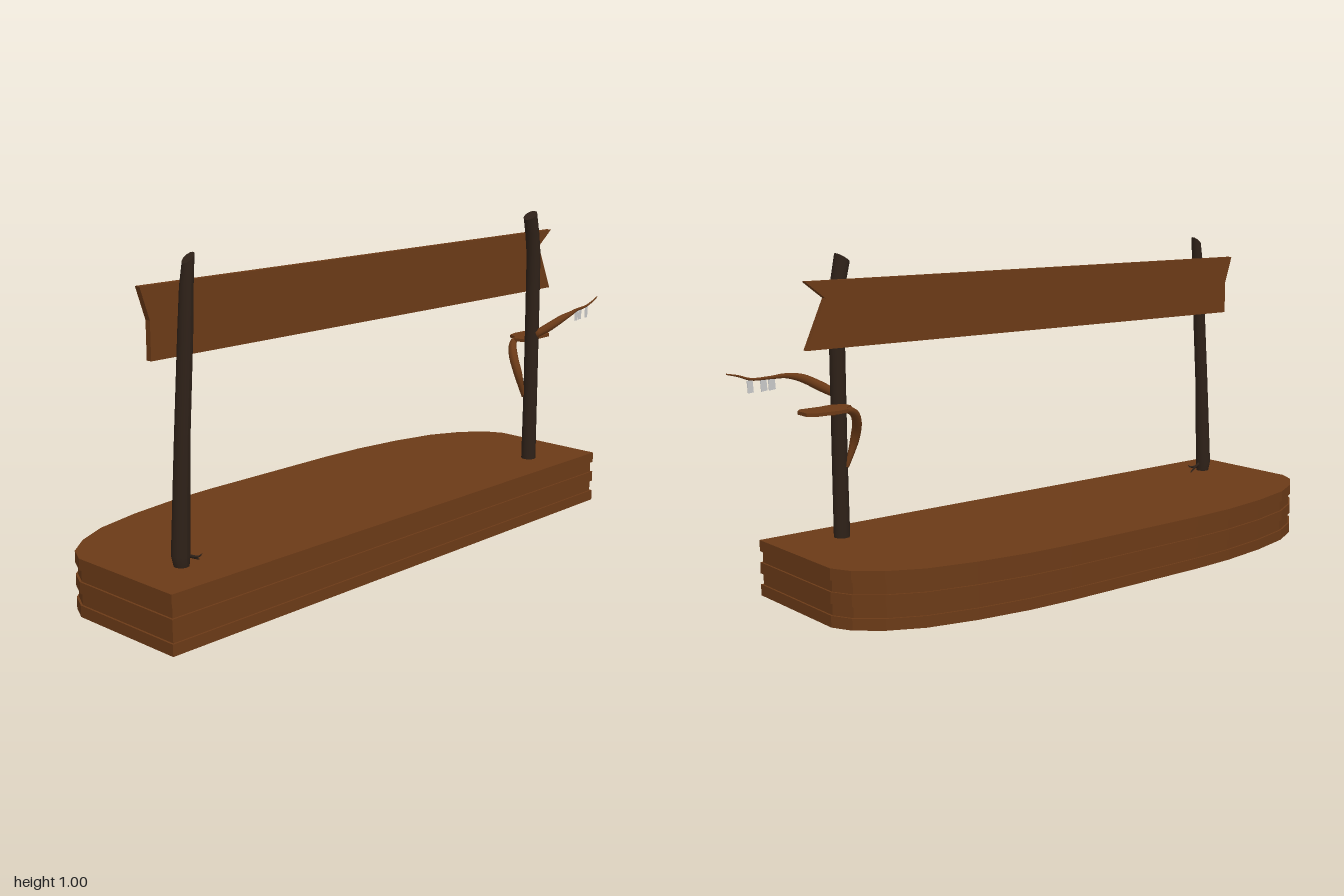
import * as THREE from 'three';

const wood = new THREE.MeshStandardMaterial({ color: 0x6b3a17 });
const bark = new THREE.MeshStandardMaterial({ color: 0x2e2118 });
const pale = new THREE.MeshStandardMaterial({ color: 0xcccccc, side: THREE.DoubleSide });

function add(parent, name, geometry, material) {
  const mesh = new THREE.Mesh(geometry, material);
  mesh.name = name;
  parent.add(mesh);
  return mesh;
}

// Flat board cut from an outline of [x, y] points
function board(outline, depth) {
  const shape = new THREE.Shape(outline.map(([x, y]) => new THREE.Vector2(x, y)));
  return new THREE.ExtrudeGeometry(shape, { depth, bevelEnabled: false });
}

// Horizontal board cut from [x, z] points
function slab(outline, bottom, height) {
  return board(outline.map(([x, z]) => [x, -z]), height)
    .rotateX(-Math.PI / 2).translate(0, bottom, 0);
}

// Upright log through [x, y, z, radius] stations, with a slanted top
function log(stations, slant) {
  const last = stations.length - 1;
  const g = new THREE.CylinderGeometry(1, 1, 1, 12, last);
  const p = g.attributes.position;
  for (let i = 0; i < p.count; i++) {
    const k = Math.round((p.getY(i) + 0.5) * last);
    const [x, y, z, r] = stations[k];
    const dx = p.getX(i) * r;
    p.setXYZ(i, x + dx, y + (k === last ? dx * slant : 0), z + p.getZ(i) * r);
  }
  g.computeVertexNormals();
  return g;
}

// Closed tapering branch along a curve through [x, y, z, radius] points
function branch(points, steps = 16, sides = 8) {
  const curve = new THREE.CatmullRomCurve3(points.map(([x, y, z]) => new THREE.Vector3(x, y, z)));
  const frames = curve.computeFrenetFrames(steps, false);
  const position = [], index = [];
  for (let row = 0; row <= steps + 2; row++) {
    const i = Math.min(Math.max(row - 1, 0), steps);
    const u = i / steps, f = curve.getUtoTmapping(u) * (points.length - 1);
    const a = Math.min(Math.floor(f), points.length - 2);
    const end = row === 0 || row === steps + 2;
    const r = end ? 0 : THREE.MathUtils.lerp(points[a][3], points[a + 1][3], f - a);
    const centre = curve.getPointAt(u);
    for (let s = 0; s < sides; s++) {
      const angle = (s / sides) * Math.PI * 2;
      const v = centre.clone()
        .addScaledVector(frames.normals[i], Math.cos(angle) * r)
        .addScaledVector(frames.binormals[i], Math.sin(angle) * r);
      position.push(v.x, v.y, v.z);
      if (row > 0) {
        const n = (s + 1) % sides, lo = (row - 1) * sides, hi = row * sides;
        index.push(lo + s, lo + n, hi + s, lo + n, hi + n, hi + s);
      }
    }
  }
  const g = new THREE.BufferGeometry();
  g.setAttribute('position', new THREE.Float32BufferAttribute(position, 3));
  g.setIndex(index);
  g.computeVertexNormals();
  return g;
}

export function createModel() {
  const model = new THREE.Group();
  model.name = 'signStand';

  // Layered plinth with a straight front and rounded back, every second layer inset
  const base = new THREE.Group();
  base.name = 'base';
  model.add(base);
  const half = [[0.93, 0.312], [0.93, -0.08], [0.9, -0.14], [0.83, -0.2], [0.73, -0.25],
    [0.58, -0.286], [0.41, -0.309], [0.26, -0.316]];
  const ring = [...half, ...half.map(([x, z]) => [-x, z]).reverse()];
  const layer = 0.168 / 5;
  for (let i = 0; i < 5; i++) {
    const s = i % 2 ? 0.006 : 0;
    const outline = ring.map(([x, z]) => [x * (1 - s / 0.93) - 0.07, z * (1 - s / 0.315)]);
    add(base, 'baseLayer', slab(outline, i * layer, layer), wood);
  }

  // Posts
  add(model, 'rightPost', log([
    [-0.845, 0.165, 0.166, 0.021], [-0.848, 0.2, 0.166, 0.026], [-0.838, 0.5, 0.172, 0.022],
    [-0.822, 0.8, 0.178, 0.021], [-0.816, 0.92, 0.18, 0.019], [-0.808, 0.99, 0.18, 0.017],
  ], 0.8), bark);
  add(model, 'leftPost', log([
    [0.654, 0.165, 0.19, 0.024], [0.655, 0.4, 0.19, 0.023], [0.655, 0.7, 0.189, 0.023],
    [0.655, 0.86, 0.188, 0.023], [0.645, 0.93, 0.188, 0.023], [0.632, 0.99, 0.188, 0.022],
  ], 0.6), bark);

  // Notched sign board behind the posts
  add(model, 'signBoard', board([
    [-0.955, 0.93], [-0.925, 0.84], [-0.925, 0.735], [0.78, 0.735], [0.715, 0.88], [0.78, 0.93],
  ].reverse(), 0.018).translate(0, 0, 0.147), wood);

  // Small forked twig at the foot of the post
  add(model, 'twig', branch([[-0.84, 0.2, 0.165, 0.006], [-0.81, 0.185, 0.165, 0.005],
    [-0.78, 0.168, 0.16, 0.002]], 8, 6), bark);
  add(model, 'twigFork', branch([[-0.81, 0.186, 0.165, 0.004], [-0.795, 0.183, 0.175, 0.003],
    [-0.785, 0.19, 0.18, 0.001]], 6, 6), bark);

  // Leaf-shaped shelf with its two curved supports
  add(model, 'shelf', slab([[0.66, 0.155], [0.655, 0.12], [0.685, 0.095], [0.695, 0.07], [0.73, 0.06],
    [0.8, 0.062], [0.825, 0.08], [0.825, 0.13], [0.805, 0.152], [0.74, 0.155], [0.7, 0.165]],
  0.561, 0.01), wood);
  add(model, 'shelfSupport', branch([[0.642, 0.38, 0.172, 0.006], [0.618, 0.46, 0.165, 0.014],
    [0.628, 0.52, 0.135, 0.015], [0.66, 0.556, 0.11, 0.012], [0.71, 0.564, 0.1, 0.006]]), wood);
  add(model, 'shelfSupport', branch([[0.655, 0.515, 0.205, 0.008], [0.675, 0.545, 0.182, 0.011],
    [0.7, 0.561, 0.155, 0.009], [0.74, 0.565, 0.125, 0.005]]), wood);

  // Side branch tapering to a thin tip
  add(model, 'sideBranch', branch([[0.655, 0.595, 0.205, 0.013], [0.69, 0.617, 0.23, 0.015],
    [0.735, 0.642, 0.25, 0.013], [0.785, 0.654, 0.252, 0.008], [0.85, 0.657, 0.232, 0.005],
    [0.92, 0.66, 0.221, 0.004], [0.955, 0.672, 0.222, 0.003], [0.997, 0.682, 0.212, 0.002]],
  28), wood);

  // Hanging tags
  for (const [x, z, w] of [[0.846, 0.233, 0.024], [0.875, 0.227, 0.022], [0.92, 0.222, 0.02]]) {
    const tag = add(model, 'tag', new THREE.BoxGeometry(w, 0.036, 0.002), pale);
    tag.position.set(x, 0.639, z);
    tag.rotation.set(0, 0.2, -0.08);
  }
  return model;
}
